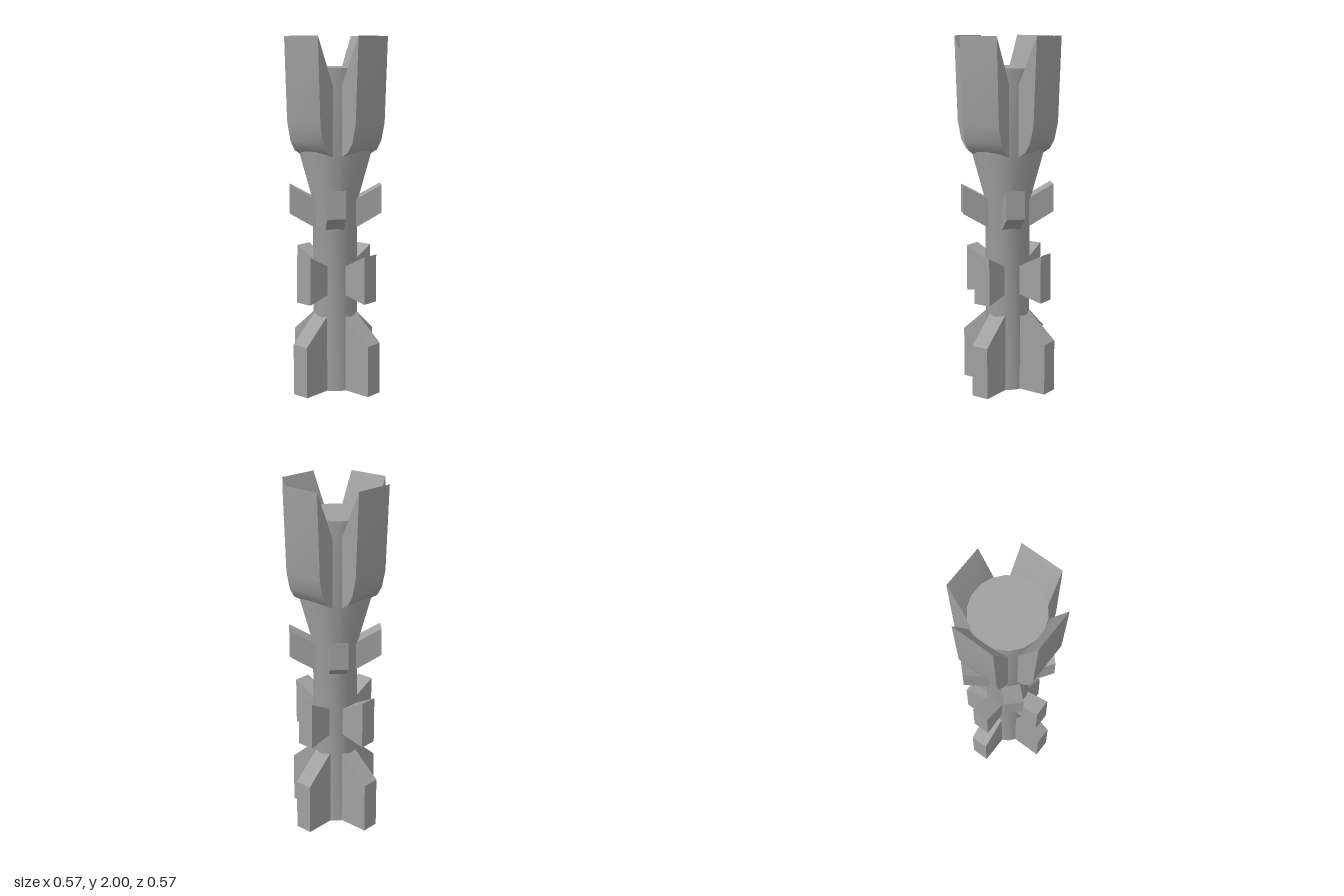
import * as THREE from 'three';
import { toCreasedNormals } from 'three/addons/utils/BufferGeometryUtils.js';

const material = new THREE.MeshStandardMaterial({ color: 0xa0a0a0 });

// Four copies of a radial plate around the body; profile points are [radius, height].
// offsets shift each plate sideways from its radial line.
function ring(name, profile, width, startAngle = 0, offsets = [0, 0, 0, 0]) {
  const shape = new THREE.Shape(profile.map(([r, y]) => new THREE.Vector2(r, y)));
  const extruded = new THREE.ExtrudeGeometry(shape, { depth: width, bevelEnabled: false });
  extruded.translate(0, 0, -width / 2);
  const geometry = toCreasedNormals(extruded, 0.62);
  const group = new THREE.Group();
  group.name = name + 's';
  offsets.forEach((offset, i) => {
    const pivot = new THREE.Group();
    pivot.rotation.y = startAngle + (i * Math.PI) / 2;
    const mesh = new THREE.Mesh(geometry, material);
    mesh.name = name;
    mesh.position.z = offset;
    pivot.add(mesh);
    group.add(pivot);
  });
  return group;
}

export function createModel() {
  const model = new THREE.Group();
  model.name = 'flangedHandle';

  // Shaft flaring into a wider head, 18 sides
  const outline = [[0, 0], [0.125, 0], [0.125, 1.08], [0.202, 1.36], [0.202, 1.83], [0, 1.83]];
  const lathe = new THREE.LatheGeometry(outline.map(([r, y]) => new THREE.Vector2(r, y)), 18);
  lathe.rotateY(Math.PI / 2);
  const body = new THREE.Mesh(toCreasedNormals(lathe, 0.62), material);
  body.name = 'body';
  model.add(body);

  const axial = [-0.009, -0.009, 0.009, 0.009];
  const middle = [-0.006, -0.006, 0.006, 0.006];
  const diagonal = [0, -0.008, 0, 0.008];

  // Pointed flanges around the head
  model.add(ring('headFlange', [
    [0.1, 1.345], [0.16, 1.355], [0.2, 1.378], [0.232, 1.43], [0.255, 1.53],
    [0.273, 2], [0.1, 1.61],
  ], 0.245));

  // Slanted lugs on the diagonals
  model.add(ring('diagonalLug', [
    [0.05, 0.9], [0.257, 1.02], [0.257, 1.178], [0.05, 1.065],
  ], 0.102, Math.PI / 4, diagonal));

  // Flared middle fins
  model.add(ring('middleFin', [
    [0.05, 0.577], [0.256, 0.53], [0.256, 0.8], [0.05, 0.695],
  ], 0.102, 0, middle));

  // Base fins with sloped tops
  model.add(ring('baseFin', [
    [0.05, 0], [0.283, 0], [0.283, 0.293], [0.05, 0.495],
  ], 0.103, 0, axial));

  return model;
}
